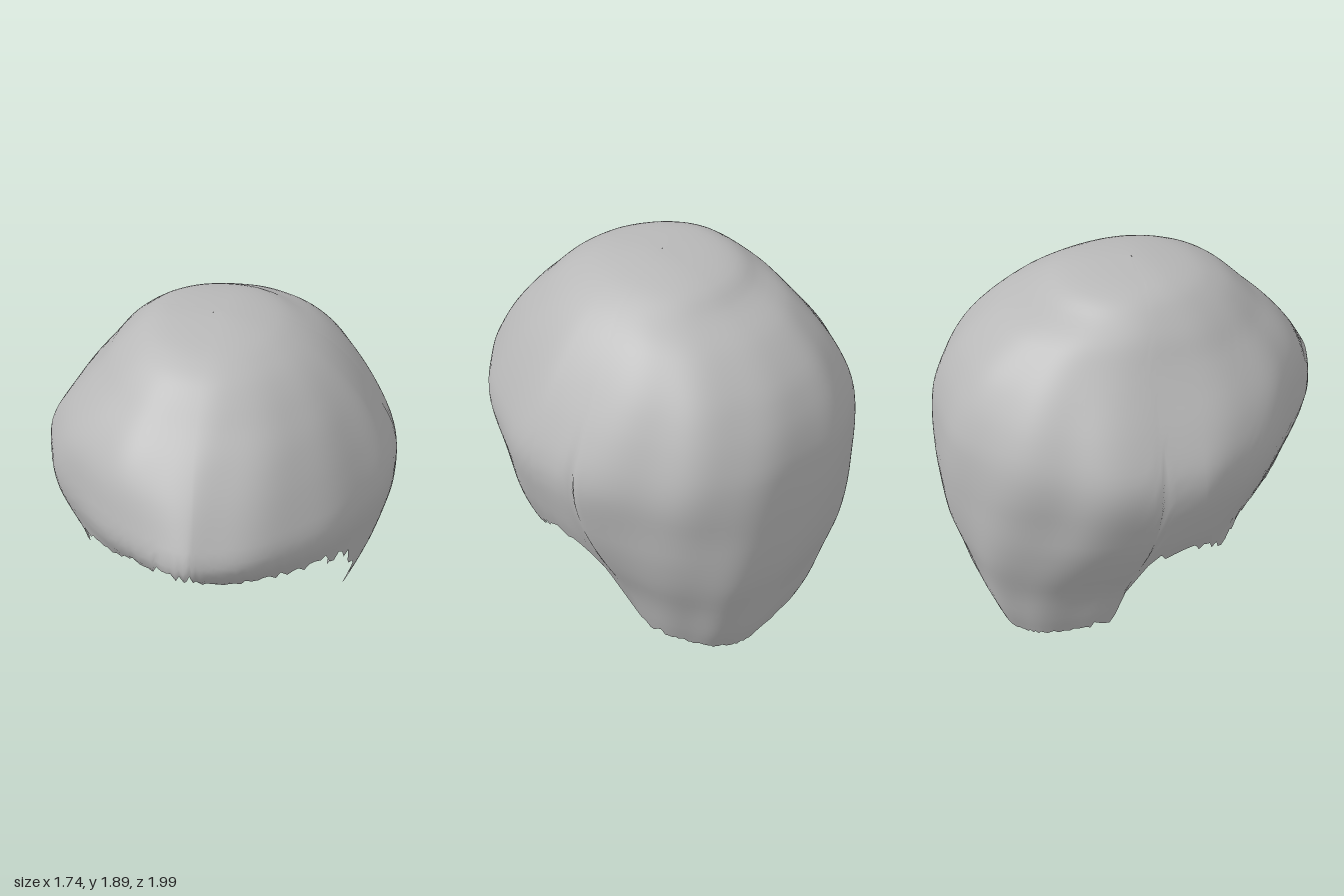
import * as THREE from 'three';
import { mergeVertices } from 'three/addons/utils/BufferGeometryUtils.js';

const TOP = 1.91;

// Profile by height: y, front depth, back depth, width on +x, width on -x
const PROFILE = [
  [1.91, 0, 0, 0, 0],
  [1.9, 0.13, 0.2, 0.13, 0.26],
  [1.87, 0.3, 0.35, 0.27, 0.35],
  [1.8, 0.45, 0.46, 0.41, 0.44],
  [1.74, 0.52, 0.61, 0.49, 0.5],
  [1.65, 0.61, 0.73, 0.58, 0.565],
  [1.55, 0.72, 0.83, 0.66, 0.645],
  [1.4, 0.85, 0.92, 0.76, 0.765],
  [1.25, 0.95, 0.97, 0.84, 0.86],
  [1.15, 1.01, 0.98, 0.87, 0.88],
  [1.04, 0.95, 0.99, 0.865, 0.87],
  [0.97, 0.85, 0.99, 0.85, 0.85],
  [0.8, 0.75, 0.985, 0.81, 0.8],
  [0.6, 0.7, 0.96, 0.73, 0.7],
  [0.4, 0.68, 0.9, 0.63, 0.59],
  [0.2, 0.65, 0.85, 0.57, 0.54],
  [0.1, 0.62, 0.825, 0.54, 0.51],
  [0, 0.6, 0.76, 0.5, 0.47],
];

// Lower edge: angle from the front in degrees, height
const RIM_LEFT = [[0, 1.09], [10, 1.03], [18, 0.99], [30, 0.98], [40, 0.97], [48, 0.96], [55, 0.92],
  [62, 0.8], [70, 0.62], [74, 0.54], [80, 0.62], [88, 0.7], [95, 0.74], [99, 0.72], [101, 0.62],
  [102, 0.4], [103, 0.2], [106, 0.13], [130, 0.1], [155, 0.05], [180, 0.03]];
const RIM_RIGHT = [[0, 1.1], [14, 1.09], [25, 1.04], [33, 0.97], [46, 0.94], [55, 0.88], [64, 0.75],
  [72, 0.63], [79, 0.63], [86, 0.7], [94, 0.74], [98, 0.71], [100, 0.6],
  [101, 0.4], [102, 0.24], [106, 0.14], [130, 0.1], [155, 0.06], [180, 0.03]];

// Linear lookup in a table sorted by its first column
function lookup(table, key, col) {
  for (let i = 1; i < table.length; i++) {
    const a = table[i - 1], b = table[i];
    if (key <= b[0]) return a[col] + (b[col] - a[col]) * Math.max(0, (key - a[0]) / (b[0] - a[0]));
  }
  return table[table.length - 1][col];
}

// Keyed by the root of the depth below the crown, so the dome stays round
const DOME = PROFILE.map(([y, ...rest]) => [Math.sqrt(TOP - y), ...rest]);
function profile(y, col) {
  const q = Math.sqrt(Math.max(0, TOP - y));
  const d = Math.min(0.035, q);
  return (lookup(DOME, q - d, col) + 2 * lookup(DOME, q, col) + lookup(DOME, q + d, col)) / 4;
}

function seeded(seed) {
  return () => (seed = (seed * 16807) % 2147483647) / 2147483647;
}

const bell = (v, centre, width) => Math.exp(-(((v - centre) / width) ** 2));

// Point of the shell at angle a (0 = front, positive towards +x) and height y
function shellPoint(a, y) {
  const s = Math.sin(a), c = Math.cos(a), deg = Math.abs(a) * 180 / Math.PI;
  // Pointed brow in front, fuller above it on -x, and a squarer nape behind
  const pointed = bell(y, 1.15, 0.4);
  const full = (s < 0 ? 0.35 : -0.1) * bell(y, 1.5, 0.22);
  const nape = 1 - THREE.MathUtils.smoothstep(y, 0.1, 1.05);
  const back = s > 0 ? 2.25 + 1.2 * nape : 2.12 + 0.85 * nape;
  const power = 2 / (c > 0 ? 2.1 - 0.55 * pointed + full : back);
  const width = profile(y, s > 0 ? 3 : 4), depth = profile(y, c > 0 ? 1 : 2);
  // Soft locks, a shallow groove behind each ear and one lock tucked in
  const body = Math.min(1, (TOP - y) / 0.4);
  const tuck = s < 0 ? 0.06 * bell(deg, 62, 14) * bell(y, 0.75, 0.16) : 0;
  const wave = 1 + body * (0.006 * Math.sin(7 * a + 2.5 * y) + 0.005 * Math.sin(13 * a - 4 * y + 1))
    - 0.018 * bell(deg, 127, 9) * bell(y, 1.15, 0.4) - tuck;
  const x = Math.sign(s) * width * Math.abs(s) ** power * wave;
  const z = Math.sign(c) * depth * Math.abs(c) ** power * wave;
  return [x + 0.06 * Math.max(0, c) ** 2 * pointed, y, z];
}

// Open shell: columns run from the crown down to a ragged edge
function hairGeometry(columns = 192, rows = 48) {
  const random = seeded(29), positions = [], indices = [];
  for (let j = 0; j < columns; j++) {
    const a = ((j / columns) * 2 - 1) * Math.PI;
    const deg = Math.abs(a) * 180 / Math.PI;
    const rim = lookup(a > 0 ? RIM_LEFT : RIM_RIGHT, deg, 1);
    const ragged = (random() - 0.5) * (deg > 115 ? 0.025 : 0.08);
    for (let i = 0; i <= rows; i++) {
      const t = i / rows;
      const y = TOP - (TOP - rim) * t ** 1.7 + ragged * t ** 16;
      positions.push(...shellPoint(a, Math.max(0, y)));
    }
  }
  const n = rows + 1;
  for (let j = 0; j < columns; j++) {
    const k = (j + 1) % columns;
    for (let i = 0; i < rows; i++) {
      const a = j * n + i, b = k * n + i;
      if (i > 0) indices.push(a, a + 1, b);
      indices.push(b, a + 1, b + 1);
    }
  }
  let geometry = new THREE.BufferGeometry();
  geometry.setAttribute('position', new THREE.Float32BufferAttribute(positions, 3));
  geometry.setIndex(indices);
  geometry = mergeVertices(geometry, 1e-5);
  geometry.computeVertexNormals();
  return geometry;
}

export function createModel() {
  const hairGrey = new THREE.MeshStandardMaterial({ color: 0xb8b8b8, side: THREE.DoubleSide });
  hairGrey.name = 'hairGrey';
  const group = new THREE.Group();
  group.name = 'hairPiece';
  const hair = new THREE.Mesh(hairGeometry(), hairGrey);
  hair.name = 'hair';
  group.add(hair);
  return group;
}
